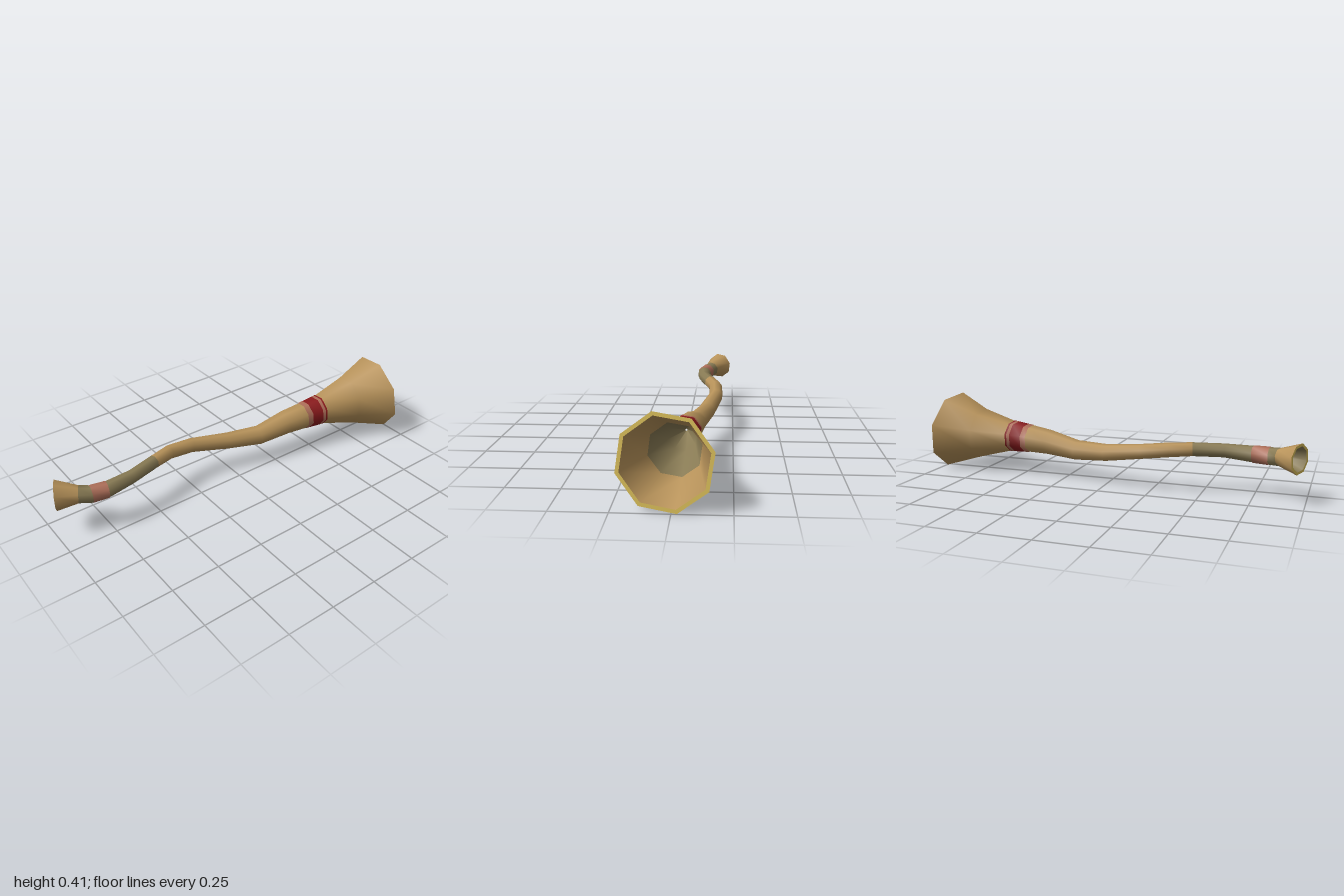
import * as THREE from 'three';

const mat = (name, color) => {
  const m = new THREE.MeshStandardMaterial({ color });
  m.name = name;
  return m;
};

const SIDES = 8;
const PHASE = Math.PI / 6;

// Joins octagonal rings [x, y, z, halfWidth, axis?]; pick(i) is the material of segment i
function loft(name, rings, materials, pick = () => 0) {
  const pos = [], index = [];
  const geo = new THREE.BufferGeometry();
  const pts = rings.map(r => new THREE.Vector3(r[0], r[1], r[2]));
  rings.forEach((r, i) => {
    const t = r[4]
      ? new THREE.Vector3(...r[4])
      : pts[Math.max(i - 1, 0)].clone().sub(pts[Math.min(i + 1, pts.length - 1)]);
    if (t.z < 0) t.negate();
    t.normalize();
    const u = new THREE.Vector3(0, 1, 0).cross(t).normalize();
    const v = t.clone().cross(u);
    const radius = r[3] / Math.cos(Math.PI / 12);
    for (let k = 0; k < SIDES; k++) {
      const a = PHASE + k * Math.PI * 2 / SIDES;
      const p = pts[i].clone()
        .addScaledVector(u, Math.cos(a) * radius)
        .addScaledVector(v, Math.sin(a) * radius);
      pos.push(p.x, p.y, p.z);
    }
  });
  for (let i = 0; i < rings.length - 1; i++) {
    geo.addGroup(index.length, SIDES * 6, pick(i));
    for (let k = 0; k < SIDES; k++) {
      const n = (k + 1) % SIDES;
      const a = i * SIDES + k, d = i * SIDES + n;
      const b = a + SIDES, c = d + SIDES;
      index.push(a, b, d, b, c, d);
    }
  }
  geo.setAttribute('position', new THREE.Float32BufferAttribute(pos, 3));
  geo.setIndex(index);
  geo.computeVertexNormals();
  const mesh = new THREE.Mesh(geo, materials);
  mesh.name = name;
  return mesh;
}

export function createModel() {
  const wood = mat('tan wood', 0xb8935a);
  const moss = mat('olive wood', 0x8a7c55);
  const gold = mat('gold rim', 0xdcc05a);
  const pink = mat('faded red band', 0xb0705a);
  const red = mat('dark red band', 0x8b1a1c);

  const mouthAxis = [-0.45, 0, 0.89];
  const bellAxis = [-0.13, -0.107, 0.98];
  const horn = new THREE.Group();
  horn.name = 'horn';

  // Outer skin, from the mouthpiece back to the bell
  const body = [
    [-0.165, 0.222, 0.965, 0.073, mouthAxis],
    [-0.115, 0.215, 0.87, 0.042],
    [-0.087, 0.21, 0.82, 0.041],
    [-0.073, 0.21, 0.74, 0.039],
    [-0.08, 0.219, 0.6, 0.033],
    [-0.118, 0.222, 0.45, 0.033],
    [-0.15, 0.217, 0.34, 0.035],
    [-0.155, 0.2, 0.2, 0.036],
    [-0.112, 0.17, 0, 0.042],
    [-0.065, 0.16, -0.18, 0.05],
    [-0.045, 0.187, -0.35, 0.063],
    [-0.03, 0.195, -0.46, 0.07],
    [-0.018, 0.2, -0.58, 0.08],
    [0, 0.2, -0.77, 0.13],
    [0.028, 0.206, -0.968, 0.204, bellAxis],
  ];
  horn.add(loft('body', body, [wood, moss],
    i => (i >= 1 && i <= 4 ? 1 : 0)));

  // Mouthpiece rim and hollow
  horn.add(loft('mouthRim', [
    [-0.165, 0.222, 0.965, 0.06, mouthAxis],
    [-0.165, 0.222, 0.965, 0.073, mouthAxis],
  ], [gold]));
  horn.add(loft('mouthHollow', [
    [-0.09, 0.212, 0.83, 0.005],
    [-0.115, 0.215, 0.87, 0.03],
    [-0.165, 0.222, 0.965, 0.06, mouthAxis],
  ], [moss]));

  // Bell rim and hollow
  horn.add(loft('bellRim', [
    [0.028, 0.206, -0.968, 0.204, bellAxis],
    [0.028, 0.206, -0.968, 0.187, bellAxis],
  ], [gold]));
  horn.add(loft('bellHollow', [
    [0.028, 0.206, -0.968, 0.187, bellAxis],
    [0, 0.2, -0.78, 0.118],
    [-0.018, 0.2, -0.58, 0.066],
    [-0.03, 0.195, -0.46, 0.005],
  ], [wood, moss], i => (i === 0 ? 0 : 1)));

  // Painted bands: thin sleeves wrapped over the body
  const sleeve = (name, a, b, stops, pick) => horn.add(loft(name, stops.map(s => {
    const r = [0, 1, 2, 3].map(j => a[j] + (b[j] - a[j]) * s);
    r[3] += 0.002;
    return [...r, [a[0] - b[0], a[1] - b[1], a[2] - b[2]]];
  }), [pink, red], pick));
  sleeve('mouthBand', body[2], body[3], [0, 1]);
  sleeve('bellBand', body[11], body[12], [0, 0.25, 0.78, 0.92, 1],
    i => (i === 1 || i === 3 ? 1 : 0));

  return horn;
}
